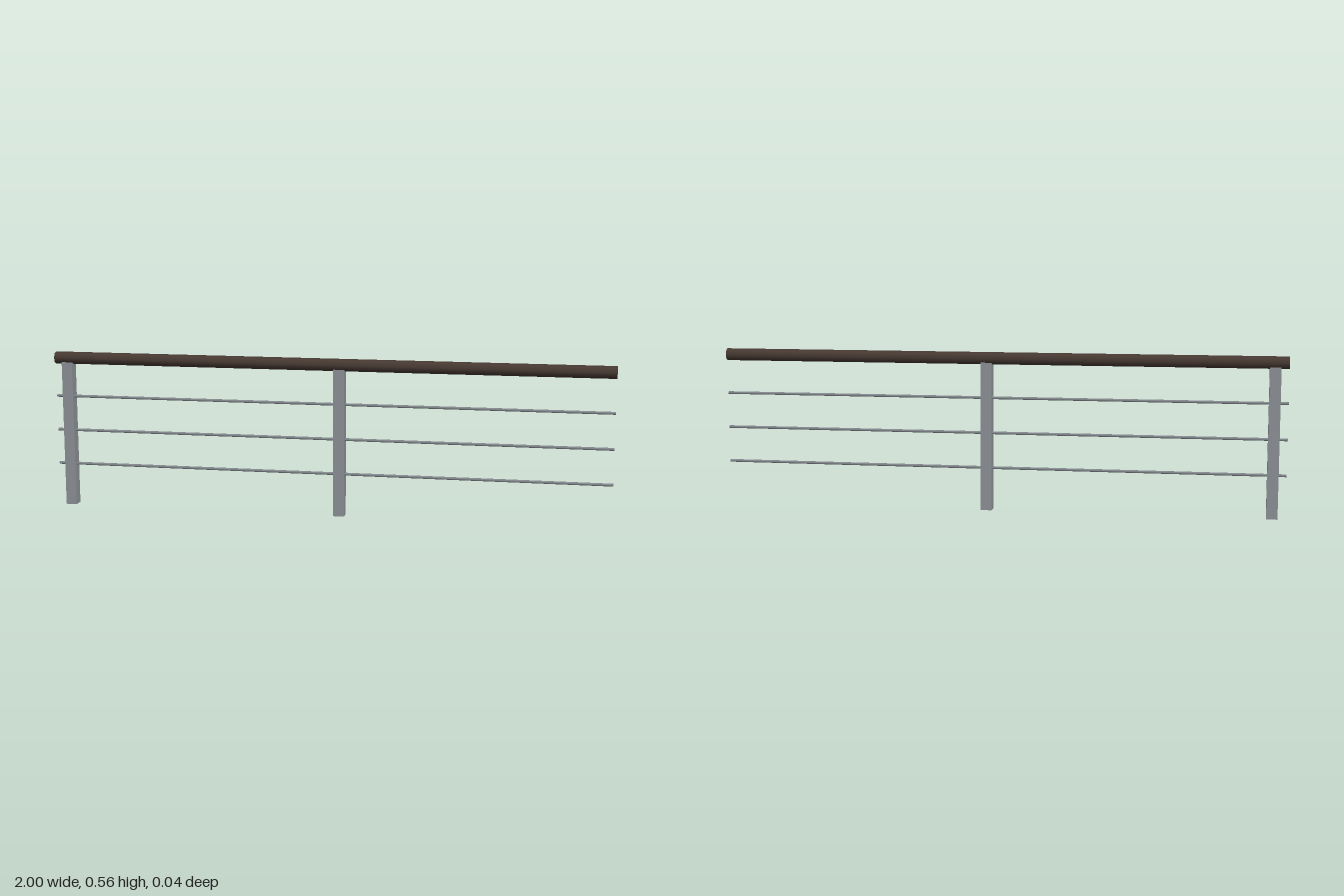
import * as THREE from 'three';

export function createModel() {
  const model = new THREE.Group();
  model.name = 'cableRailing';

  const postMetal = new THREE.MeshStandardMaterial({ color: 0x8f9499 });
  postMetal.name = 'post grey';
  const cableSteel = new THREE.MeshStandardMaterial({ color: 0x868c91 });
  cableSteel.name = 'cable steel';
  const railWood = new THREE.MeshStandardMaterial({ color: 0x483a33 });
  railWood.name = 'dark brown rail';

  const add = (name, geometry, material, x, y) => {
    const mesh = new THREE.Mesh(geometry, material);
    mesh.name = name;
    mesh.position.set(x, y, 0);
    model.add(mesh);
  };

  // Round bar running the full length along x
  const bar = (radius, sides, turn = 0) =>
    new THREE.CylinderGeometry(radius, radius, 2, sides).rotateY(turn).rotateZ(Math.PI / 2);

  // Handrail resting on the posts
  add('handrail', bar(0.0218, 8, 0.08), railWood, 0, 0.541);

  // Square posts
  const postHeight = 0.526;
  const postGeometry = new THREE.BoxGeometry(0.039, postHeight, 0.039);
  [-0.953, 0.046].forEach((x, i) => add(`post${i + 1}`, postGeometry, postMetal, x, postHeight / 2));

  // Three horizontal cables passing through the posts
  const cableGeometry = bar(0.0053, 6);
  [0.151, 0.276, 0.401].forEach((y, i) => add(`cable${i + 1}`, cableGeometry, cableSteel, 0, y));

  return model;
}
